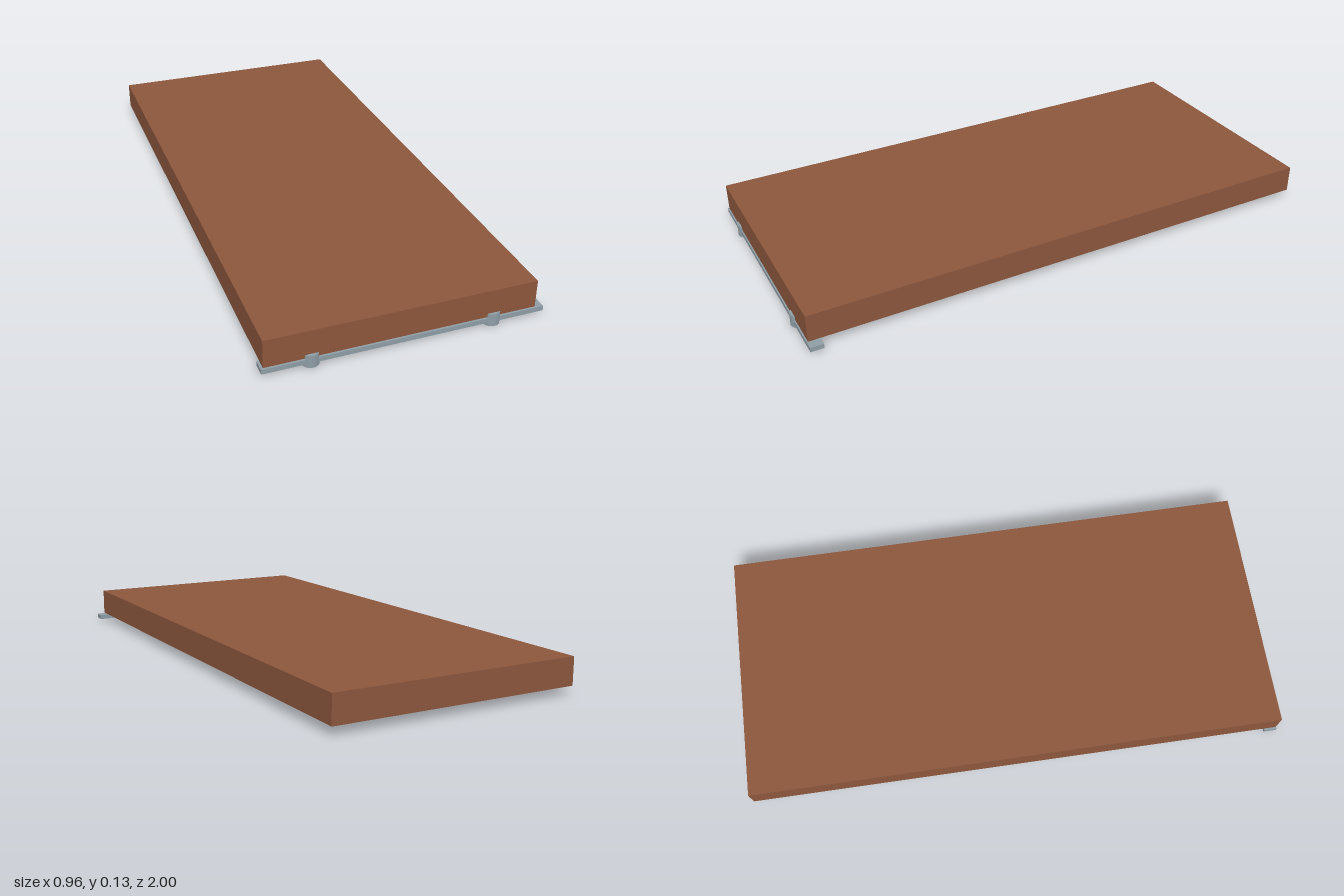
import * as THREE from 'three';

export function createModel() {
  const group = new THREE.Group();
  const wood = new THREE.MeshStandardMaterial({ color: 0x8d573d });
  const steel = new THREE.MeshStandardMaterial({ color: 0x8f9ea6 });
  const dark = new THREE.MeshStandardMaterial({ color: 0x263845 });

  // Box given by its limits on each axis
  const box = (name, material, [x0, x1], [y0, y1], [z0, z1]) => {
    const mesh = new THREE.Mesh(new THREE.BoxGeometry(x1 - x0, y1 - y0, z1 - z0), material);
    mesh.position.set((x0 + x1) / 2, (y0 + y1) / 2, (z0 + z1) / 2);
    mesh.name = name;
    group.add(mesh);
  };

  // Thick wooden slab
  box('board', wood, [-0.475, 0.452], [0.033, 0.133], [-1, 0.989]);

  // Thin rail under the front edge
  box('frontRail', steel, [-0.482, 0.482], [0.013, 0.03], [0.946, 0.993]);

  // Dark grip strip under the middle
  box('undersideGrip', dark, [-0.035, -0.007], [0.006, 0.033], [-0.2, 0.26]);

  // Round studs through the rail, their fronts showing past the board
  for (const [name, x] of [['rightStud', -0.318], ['leftStud', 0.302]]) {
    const stud = new THREE.Mesh(new THREE.CylinderGeometry(0.029, 0.029, 0.046, 32), steel);
    stud.position.set(x, 0.023, 0.971);
    stud.name = name;
    group.add(stud);
  }

  return group;
}
